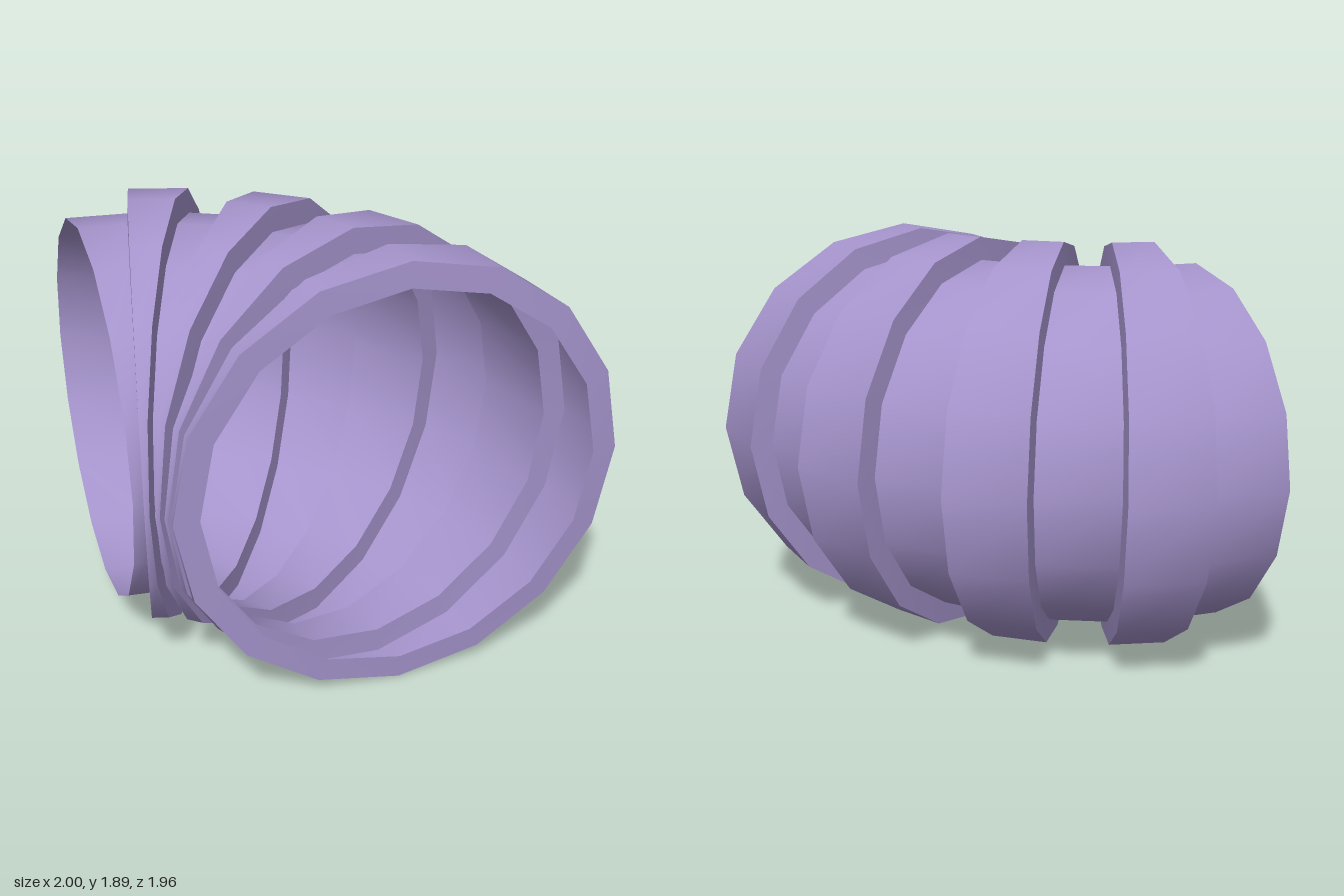
import * as THREE from 'three';

const SIDES = 16;
const BEND = 1.053;              // bend radius of the pipe's centre line
const WIDE = 0.947, NARROW = 0.84;
const PIVOT_X = -1, PIVOT_Z = 0.977, CENTRE_Y = WIDE;

// Band of pipe wall between two cross-sections, each given as [bend angle in degrees, radius]
function band(from, to) {
  const positions = [], index = [];
  for (const [deg, radius] of [from, to]) {
    const t = THREE.MathUtils.degToRad(deg);
    for (let i = 0; i < SIDES; i++) {
      const p = (i / SIDES) * Math.PI * 2;
      const r = BEND + radius * Math.cos(p);
      positions.push(
        PIVOT_X + r * Math.cos(t),
        CENTRE_Y + radius * Math.sin(p),
        PIVOT_Z - r * Math.sin(t));
    }
  }
  for (let i = 0; i < SIDES; i++) {
    const j = (i + 1) % SIDES;
    index.push(i, i + SIDES, j + SIDES, i, j + SIDES, j);
  }
  const geometry = new THREE.BufferGeometry();
  geometry.setAttribute('position', new THREE.Float32BufferAttribute(positions, 3));
  geometry.setIndex(index);
  geometry.computeVertexNormals();   // smooth around the pipe, sharp between bands
  return geometry;
}

export function createModel() {
  const group = new THREE.Group();
  group.name = 'corrugatedPipeElbow';
  const material = new THREE.MeshStandardMaterial({ color: 0xa594cc, side: THREE.DoubleSide });

  const add = (parent, name, from, to) => {
    const mesh = new THREE.Mesh(band(from, to), material);
    mesh.name = name;
    parent.add(mesh);
  };

  // Four repeats of a raised rib followed by a narrow section, over a quarter turn
  const period = 22.5, half = period / 2, slant = 0.3;
  for (let k = 0; k < 4; k++) {
    const a = k * period;
    const segment = new THREE.Group();
    segment.name = `pipeSegment${k + 1}`;
    add(segment, 'ribFrontWall', [a, NARROW], [a + slant, WIDE]);
    add(segment, 'rib', [a + slant, WIDE], [a + half - slant, WIDE]);
    add(segment, 'ribBackWall', [a + half - slant, WIDE], [a + half, NARROW]);
    add(segment, 'narrowSection', [a + half, NARROW], [a + period, NARROW]);
    group.add(segment);
  }
  return group;
}
